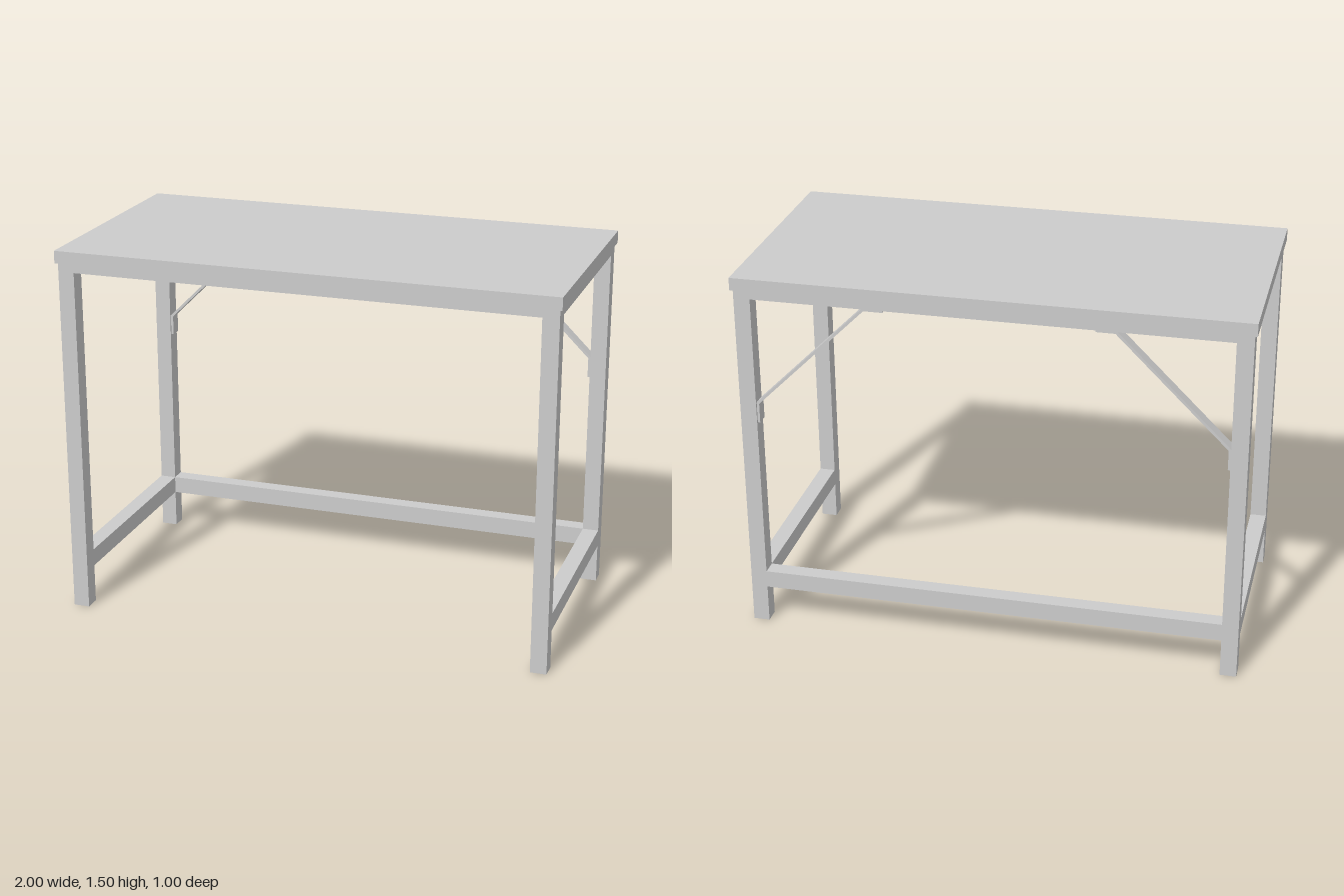
import * as THREE from 'three';

const material = new THREE.MeshStandardMaterial({ color: 0xcccccc, flatShading: true });

const TUBE = 0.065;               // width of the square frame members
const LEG_X = 0.9575, LEG_Z = 0.4575;
const TOP_Y = 1.45;               // underside of the tabletop

export function createModel() {
  const group = new THREE.Group();
  group.name = 'workbench';

  const add = (name, geometry) => {
    const mesh = new THREE.Mesh(geometry, material);
    mesh.name = name;
    group.add(mesh);
    return mesh;
  };
  // Box spanning y0..y1, centred on x and z
  const box = (name, w, d, y0, y1, x = 0, z = 0) =>
    add(name, new THREE.BoxGeometry(w, y1 - y0, d)).position.set(x, (y0 + y1) / 2, z);

  box('tabletop', 2, 1, TOP_Y, 1.5);

  const innerX = 2 * LEG_X - TUBE, innerZ = 2 * LEG_Z - TUBE;

  // Legs, side aprons and low side rails
  for (const [side, sx] of [['left', 1], ['right', -1]]) {
    box(`${side}FrontLeg`, TUBE, TUBE, 0, TOP_Y, sx * LEG_X, LEG_Z);
    box(`${side}BackLeg`, TUBE, TUBE, 0, TOP_Y, sx * LEG_X, -LEG_Z);
    box(`${side}Apron`, TUBE, innerZ, 1.415, TOP_Y, sx * LEG_X, 0);
    box(`${side}Rail`, TUBE, innerZ, 0.157, 0.228, sx * LEG_X, 0);
  }

  // Long aprons, and a low rail at the back only
  box('frontApron', innerX, TUBE, 1.415, TOP_Y, 0, LEG_Z);
  box('backApron', innerX, TUBE, 1.415, TOP_Y, 0, -LEG_Z);
  box('backRail', innerX, TUBE, 0.157, 0.228, 0, -LEG_Z);

  // Bent flat-bar braces between the back legs and the back apron
  const profile = [
    [0.925, 0.895], [0.925, 0.98], [0.485, 1.415], [0.405, 1.415],
    [0.405, 1.405], [0.48, 1.405], [0.915, 0.975], [0.915, 0.895],
  ];
  const braceWidth = 0.05;
  for (const [side, sx] of [['left', 1], ['right', -1]]) {
    const shape = new THREE.Shape(profile.map(([x, y]) => new THREE.Vector2(sx * x, y)));
    const brace = add(`${side}Brace`,
      new THREE.ExtrudeGeometry(shape, { depth: braceWidth, bevelEnabled: false }));
    brace.position.z = -LEG_Z - braceWidth / 2;
  }

  return group;
}
